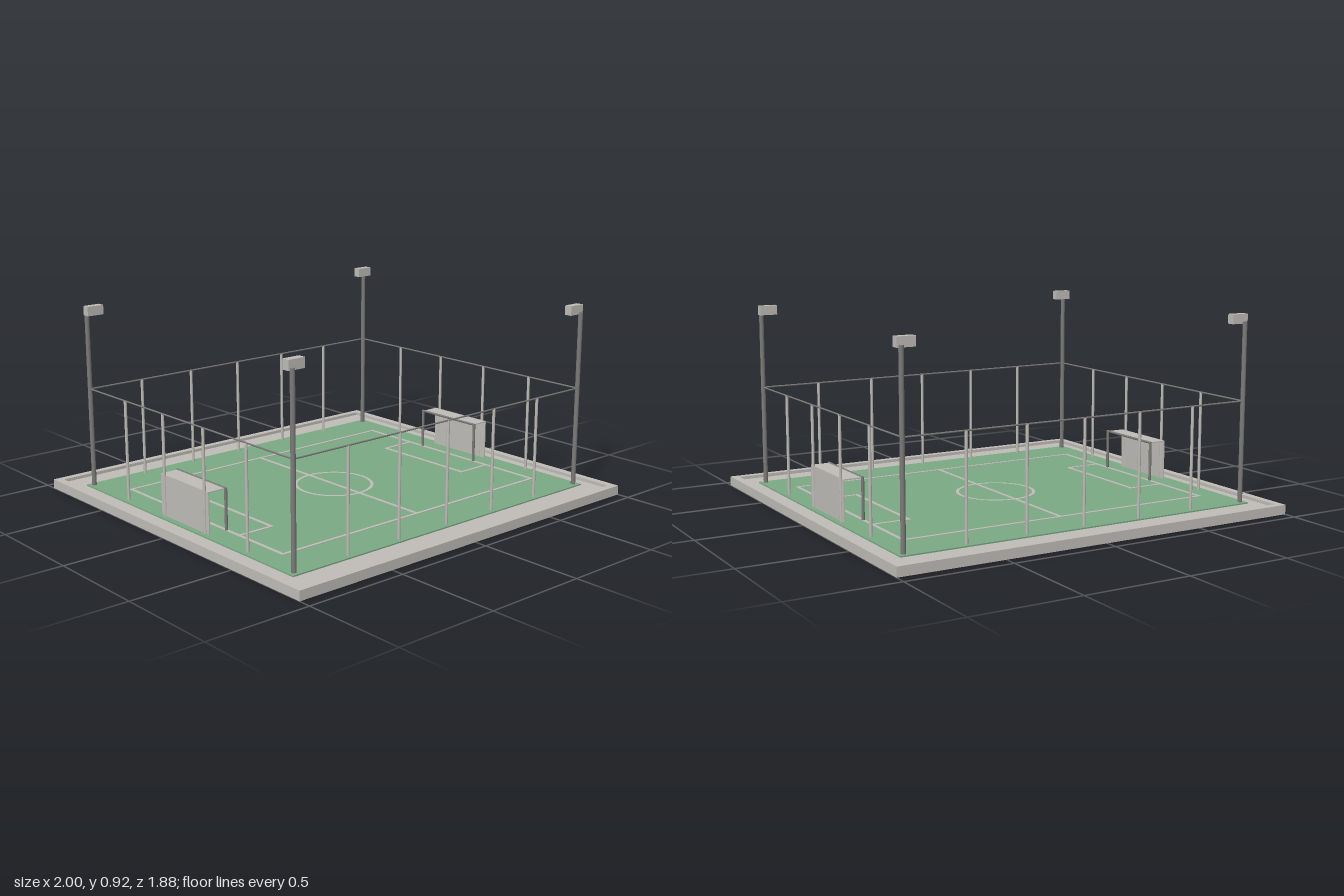
import * as THREE from 'three';

export function createModel() {
  const root = new THREE.Group();
  const concrete = new THREE.MeshStandardMaterial({ color: 0xc0bdb8 });
  concrete.name = 'light grey';
  const turf = new THREE.MeshStandardMaterial({ color: 0x7aa985 });
  turf.name = 'turf green';
  const steel = new THREE.MeshStandardMaterial({ color: 0x7c7b79 });
  steel.name = 'steel grey';

  const add = (parent, name, geometry, material, x, y, z) => {
    const mesh = new THREE.Mesh(geometry, material);
    mesh.name = name;
    mesh.position.set(x, y, z);
    parent.add(mesh);
    return mesh;
  };
  // Box given by its lower and upper corners
  const box = (parent, name, mat, x0, x1, y0, y1, z0, z1) =>
    add(parent, name, new THREE.BoxGeometry(x1 - x0, y1 - y0, z1 - z0), mat,
      (x0 + x1) / 2, (y0 + y1) / 2, (z0 + z1) / 2);
  const post = (parent, name, mat, r, x, z, y0, y1) =>
    add(parent, name, new THREE.CylinderGeometry(r, r, y1 - y0, 12), mat, x, (y0 + y1) / 2, z);
  const bar = (parent, name, mat, r, length, axis, x, y, z) => {
    const mesh = add(parent, name, new THREE.CylinderGeometry(r, r, length, 8), mat, x, y, z);
    if (axis === 'x') mesh.rotation.z = Math.PI / 2;
    else mesh.rotation.x = Math.PI / 2;
    return mesh;
  };

  const FLOOR = 0.03, TURF = 0.036, LINE = 0.039;

  // Base slab with a raised curb around it
  box(root, 'baseSlab', concrete, -0.97, 0.97, 0, FLOOR, -0.92, 0.92);
  const rect = (target, w, d) => {
    target.moveTo(-w, -d);
    target.lineTo(w, -d);
    target.lineTo(w, d);
    target.lineTo(-w, d);
    target.closePath();
    return target;
  };
  const curbShape = rect(new THREE.Shape(), 1, 0.94);
  curbShape.holes.push(rect(new THREE.Path(), 0.963, 0.905));
  const curbGeo = new THREE.ExtrudeGeometry(curbShape, { depth: 0.045, bevelEnabled: false });
  curbGeo.rotateX(-Math.PI / 2);
  add(root, 'curb', curbGeo, concrete, 0, 0, 0);

  box(root, 'pitch', turf, -0.907, 0.907, FLOOR - 0.005, TURF, -0.787, 0.787);

  // Painted markings
  const lines = new THREE.Group();
  lines.name = 'pitchMarkings';
  root.add(lines);
  const t = 0.0075;
  const line = (name, x0, x1, z0, z1) =>
    box(lines, name, concrete, x0 - t, x1 + t, TURF - 0.002, LINE, z0 - t, z1 + t);
  line('halfwayLine', 0, 0, -0.575, 0.575);
  for (const s of [-1, 1]) {
    line('touchLine', -0.787, 0.787, s * 0.575, s * 0.575);
    line('goalLine', s * 0.787, s * 0.787, -0.575, 0.575);
    line('penaltyAreaFront', s * 0.608, s * 0.608, -0.275, 0.275);
    for (const e of [-1, 1])
      line('penaltyAreaSide', Math.min(s * 0.608, s * 0.787), Math.max(s * 0.608, s * 0.787), e * 0.275, e * 0.275);
  }
  const circle = new THREE.RingGeometry(0.177, 0.192, 64);
  circle.rotateX(-Math.PI / 2);
  add(lines, 'centreCircle', circle, concrete, 0, LINE, 0);

  // Fence of thin posts and a top rail
  const fence = new THREE.Group();
  fence.name = 'fence';
  root.add(fence);
  const FX = 0.88, FZ = 0.76, FY = 0.515;
  for (const s of [-1, 1]) {
    for (const x of [-0.587, -0.293, 0, 0.293, 0.587])
      post(fence, 'fencePost', concrete, 0.007, x, s * FZ, FLOOR, FY);
    for (const z of [-0.455, -0.152, 0.152, 0.455])
      post(fence, 'fencePost', concrete, 0.007, s * FX, z, FLOOR, FY);
    bar(fence, 'longRail', steel, 0.004, 2 * FX, 'x', 0, FY, s * FZ);
    bar(fence, 'shortRail', steel, 0.004, 2 * FZ, 'z', s * FX, FY, 0);
  }

  // Floodlight in each corner
  for (const sx of [-1, 1]) for (const sz of [-1, 1]) {
    const light = new THREE.Group();
    light.name = 'floodlight';
    root.add(light);
    post(light, 'floodlightPole', steel, 0.011, sx * FX, sz * FZ, FLOOR, 0.885);
    add(light, 'lampHead', new THREE.BoxGeometry(0.085, 0.045, 0.037), concrete,
      sx * 0.855, 0.897, sz * 0.739);
  }

  // Goals: front frame, back panel and roof panel
  for (const s of [-1, 1]) {
    const goal = new THREE.Group();
    goal.name = 'goal';
    root.add(goal);
    for (const e of [-1, 1])
      post(goal, 'goalPost', steel, 0.007, s * 0.788, e * 0.183, FLOOR, 0.232);
    bar(goal, 'crossbar', steel, 0.006, 0.375, 'z', s * 0.788, 0.23, 0);
    add(goal, 'backPanel', new THREE.BoxGeometry(0.005, 0.2, 0.36), concrete, s * 0.877, 0.13, 0);
    add(goal, 'roofPanel', new THREE.BoxGeometry(0.09, 0.005, 0.36), concrete, s * 0.834, 0.229, 0);
  }
  return root;
}
